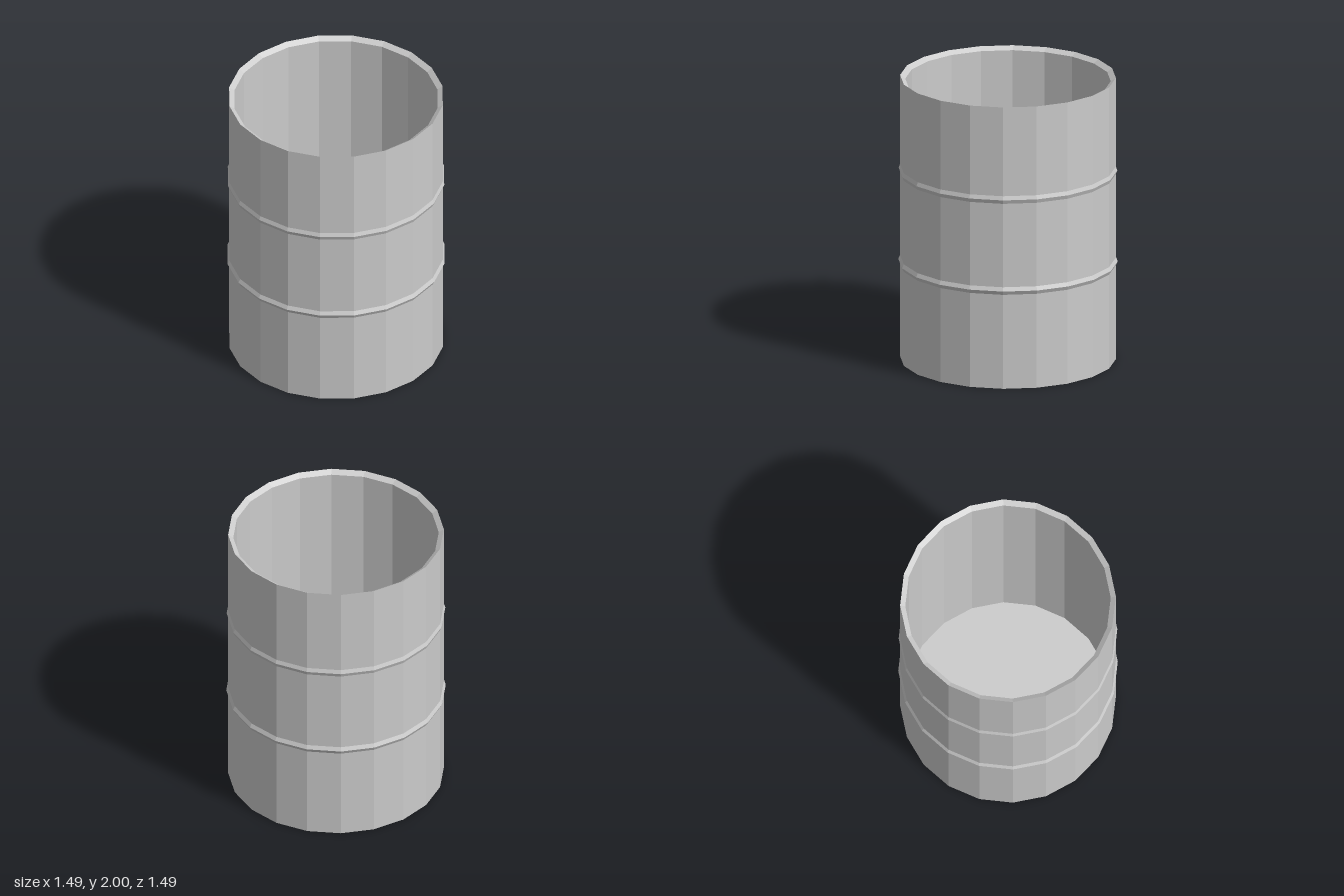
import * as THREE from 'three';

const SIDES = 20;
const TURN = THREE.MathUtils.degToRad(6.5); // angle of the first corner
const WALL = 0.735;
const INNER = 0.7;

export function createModel() {
  const group = new THREE.Group();
  const material = new THREE.MeshStandardMaterial({ color: 0xcccccc, flatShading: true });

  const add = (name, geometry) => {
    const mesh = new THREE.Mesh(geometry, material);
    mesh.name = name;
    group.add(mesh);
    return mesh;
  };
  const lathe = (profile) =>
    new THREE.LatheGeometry(profile.map(([r, y]) => new THREE.Vector2(r, y)), SIDES, TURN);

  // Open wall with bevelled rims, outside and inside
  add('drumWall', lathe([
    [INNER, 0.035], [WALL, 0], [WALL, 2], [INNER, 1.975], [INNER, 0.04],
  ]));

  // Recessed floor plate
  add('drumFloor', new THREE.CylinderGeometry(INNER, INNER, 0.015, SIDES, 1, false, TURN))
    .position.y = 0.0425;

  // Two pointed rolling hoops
  for (const [name, y, r] of [['lowerHoop', 0.695, 0.748], ['upperHoop', 1.342, 0.745]]) {
    add(name, lathe([[WALL, y - 0.027], [r, y], [WALL, y + 0.027]]));
  }

  return group;
}
